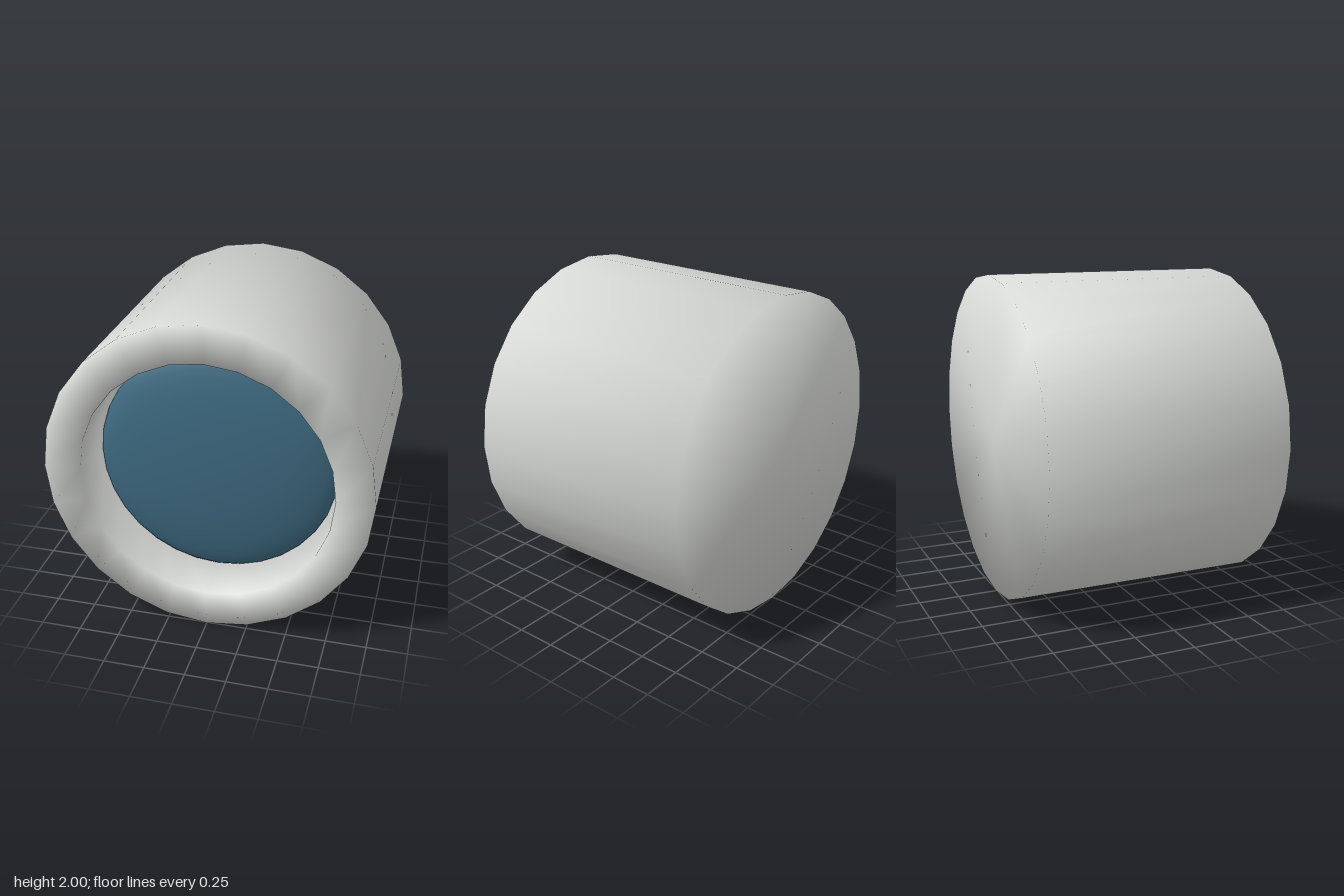
import * as THREE from 'three';

const SIDES = 24;
const SEAT = 0.455; // depth at which the lens sits in the bore

export function createModel() {
  const casing = new THREE.MeshStandardMaterial({ color: 0xd6d8d5 });
  casing.name = 'lightGreyCasing';
  const glass = new THREE.MeshStandardMaterial({ color: 0x3d6980 });
  glass.name = 'blueGlass';

  const model = new THREE.Group();
  model.name = 'roundHousing';

  // Closed back, outer wall, flat front rim, recessed bore and its floor,
  // as a [radius, z] profile turned around the z axis
  const profile = [
    [0, -0.757], [1, -0.757], [1, 0.757], [0.77, 0.757], [0.77, SEAT], [0, SEAT],
  ].map(([r, z]) => new THREE.Vector2(r, z));
  const housing = new THREE.Mesh(
    new THREE.LatheGeometry(profile, SIDES).rotateX(Math.PI / 2), casing);
  housing.name = 'housing';
  housing.position.y = 1;

  // Flattened dome resting on the bore floor
  const dome = new THREE.SphereGeometry(0.74, 32, 12, 0, Math.PI * 2, 0, Math.PI / 2);
  dome.rotateX(Math.PI / 2).scale(1, 1, 0.2);
  const lens = new THREE.Mesh(dome, glass);
  lens.name = 'lens';
  lens.position.set(0, 1, SEAT);

  model.add(housing, lens);
  return model;
}
